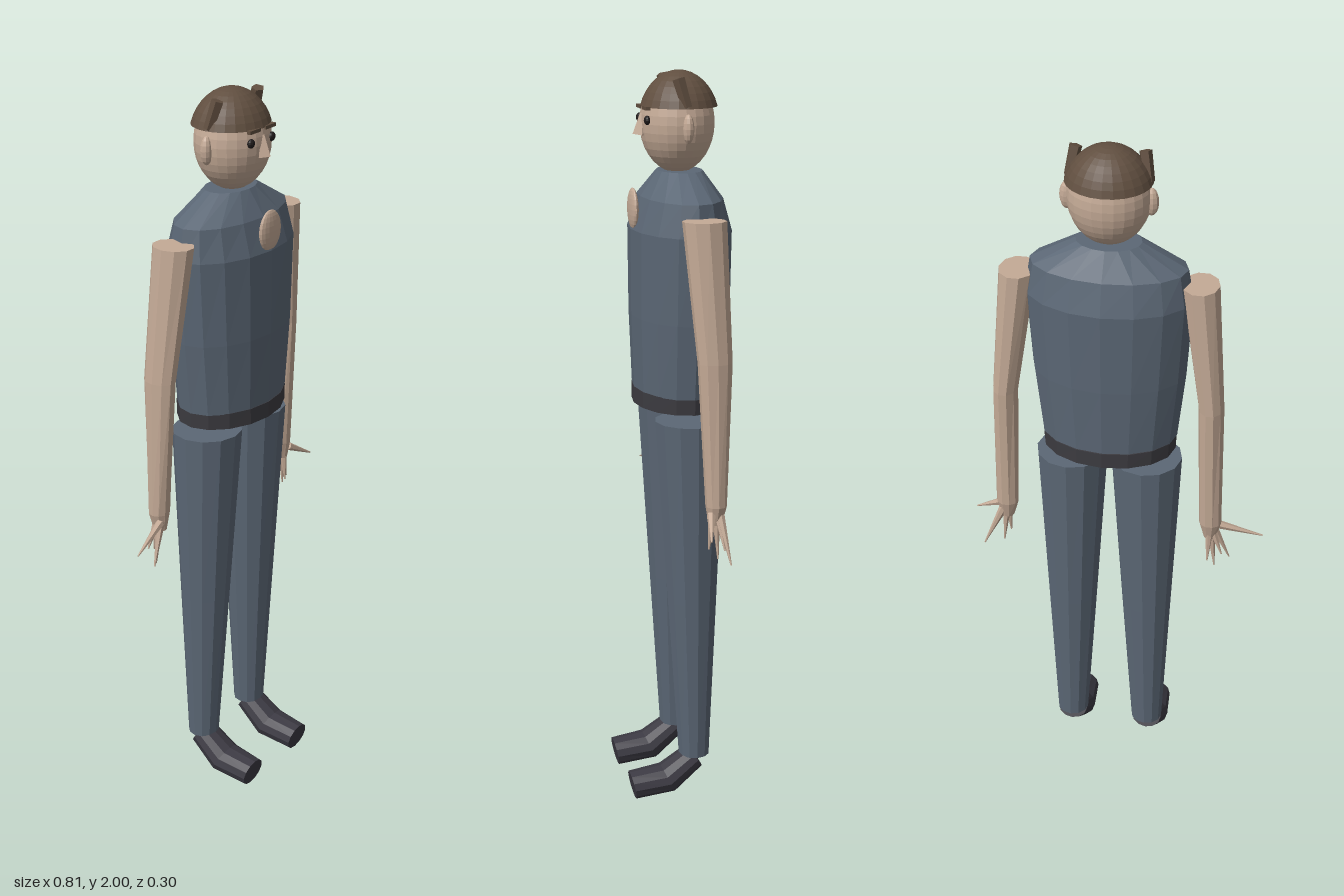
import * as THREE from 'three';

const CX = 0.022; // body centre line

const mat = (name, color) => {
  const m = new THREE.MeshStandardMaterial({ color });
  m.name = name;
  return m;
};

// faceted normals
function facet(geo) {
  const g = geo.index ? geo.toNonIndexed() : geo;
  g.computeVertexNormals();
  return g;
}

// closed skin over elliptical rings [x, y, z, rx, rz, tilt], listed from bottom to top
function loft(rings, sides) {
  const pos = [], idx = [], n = rings.length;
  for (const [x, y, z, rx, rz, tilt = 0] of rings) {
    for (let i = 0; i < sides; i++) {
      const t = (i / sides) * Math.PI * 2, s = rz * Math.sin(t);
      pos.push(x + rx * Math.cos(t), y + s * Math.sin(tilt), z + s * Math.cos(tilt));
    }
  }
  for (const r of [rings[0], rings[n - 1]]) pos.push(r[0], r[1], r[2]);
  const bottom = n * sides, top = bottom + 1, last = (n - 1) * sides;
  for (let i = 0; i < sides; i++) {
    const j = (i + 1) % sides;
    for (let k = 0; k < n - 1; k++) {
      const a = k * sides + i, b = k * sides + j;
      idx.push(b, a, a + sides, b, a + sides, b + sides);
    }
    idx.push(bottom, i, j, top, last + j, last + i);
  }
  const g = new THREE.BufferGeometry();
  g.setAttribute('position', new THREE.Float32BufferAttribute(pos, 3));
  g.setIndex(idx);
  return facet(g);
}

// tapered rod between two points
function rod(from, to, r0, r1, sides) {
  const a = new THREE.Vector3(...from), b = new THREE.Vector3(...to);
  const d = b.clone().sub(a);
  const g = new THREE.CylinderGeometry(r1, r0, d.length(), sides);
  g.applyQuaternion(new THREE.Quaternion().setFromUnitVectors(new THREE.Vector3(0, 1, 0), d.normalize()));
  g.translate(...a.add(b).multiplyScalar(0.5).toArray());
  return facet(g);
}

function ellipsoid(x, y, z, rx, ry, rz, w = 16, h = 12) {
  return facet(new THREE.SphereGeometry(1, w, h).scale(rx, ry, rz).translate(x, y, z));
}

export function createModel() {
  const group = new THREE.Group();
  const skin = mat('skin', 0xc4aa96);
  const cloth = mat('slate cloth', 0x5b6775);
  const dark = mat('dark belt', 0x3c3b40);
  const leather = mat('shoe leather', 0x3b3942);
  const hair = mat('brown hair', 0x614f40);
  const ink = mat('eye black', 0x201c1c);
  const add = (name, geo, m) => {
    const mesh = new THREE.Mesh(geo, m);
    mesh.name = name;
    group.add(mesh);
  };

  // torso and belt
  add('torso', loft([
    [CX, 1.16, -0.017, 0.183, 0.122],
    [CX, 1.36, -0.018, 0.204, 0.13],
    [CX, 1.59, -0.019, 0.218, 0.132],
    [CX, 1.675, -0.02, 0.204, 0.106],
    [CX, 1.742, -0.02, 0.085, 0.06],
  ], 16), cloth);
  add('belt', loft([
    [CX, 1.118, -0.018, 0.18, 0.125],
    [CX, 1.162, -0.018, 0.182, 0.125],
  ], 16), dark);
  add('chestPatch', ellipsoid(CX, 1.643, 0.106, 0.046, 0.055, 0.012), skin);

  // head, cap of hair and face
  add('head', ellipsoid(CX, 1.865, -0.013, 0.107, 0.13, 0.098, 24, 18), skin);
  const cap = new THREE.SphereGeometry(1, 24, 8, 0, Math.PI * 2, 0, 1.25);
  add('hairCap', facet(cap.scale(0.117, 0.135, 0.106).translate(CX, 1.865, -0.018)), hair);
  const under = new THREE.CircleGeometry(0.95, 24).rotateX(Math.PI / 2);
  add('hairUnderside', facet(under.scale(0.117, 1, 0.106).translate(CX, 1.908, -0.018)), hair);
  add('nose', rod([CX, 1.835, 0.085], [CX, 1.89, 0.078], 0.021, 0.008, 4), skin);

  const tips = {
    '-1': [[0.427, 0.84, -0.008], [0.338, 0.765, -0.025], [0.3, 0.75, -0.05], [0.282, 0.78, -0.07], [0.32, 0.8, -0.06]],
    '1': [[0.383, 0.834, -0.01], [0.35, 0.755, -0.072], [0.298, 0.758, -0.05], [0.282, 0.78, -0.03], [0.33, 0.79, -0.06]],
  };

  for (const s of [-1, 1]) {
    const side = s > 0 ? 'left' : 'right';
    const X = (d) => CX + s * d;

    // face details
    add(side + 'Eye', ellipsoid(X(0.045), 1.876, 0.077, 0.012, 0.012, 0.009, 10, 8), ink);
    add(side + 'Brow', facet(new THREE.BoxGeometry(0.045, 0.009, 0.012).translate(X(0.033), 1.906, 0.077)), hair);
    add(side + 'Ear', ellipsoid(X(0.106), 1.857, -0.017, 0.019, 0.038, 0.015, 10, 8), skin);
    add(side + 'HairTuft', rod([X(0.1), 1.91, -0.015], [X(0.086), 1.983, 0.004], 0.014, 0.017, 5), hair);

    // arm in two segments
    const elbow = [X(0.276), 1.28, -0.045, 0.034, 0.046];
    add(side + 'UpperArm', loft([elbow, [X(0.236), 1.64, -0.026, 0.049, 0.058]], 10), skin);
    add(side + 'Forearm', loft([
      [X(0.284), 0.85, -0.046, 0.017, 0.018],
      [X(0.284), 0.9, -0.048, 0.031, 0.028],
      elbow,
    ], 10), skin);
    tips[s].forEach((t, i) => {
      const base = [X(0.284 + (t[0] - 0.284) * 0.15), 0.88, -0.045 + (t[2] + 0.045) * 0.4];
      add(side + 'Finger' + (i + 1), rod(base, [X(t[0]), t[1], t[2]], 0.012, 0.002, 6), skin);
    });

    // leg in two segments
    const knee = [X(0.107), 0.58, -0.03, 0.07, 0.068];
    add(side + 'Thigh', loft([knee, [X(0.102), 1.087, -0.024, 0.097, 0.095]], 12), cloth);
    add(side + 'Shin', loft([[X(0.112), 0.123, -0.035, 0.045, 0.043], knee], 12), cloth);

    // shoe swept from toe to ankle
    add(side + 'Shoe', loft([
      [X(0.113), 0.042, 0.142, 0.044, 0.039, 1.38],
      [X(0.113), 0.055, 0.042, 0.052, 0.042, 1.11],
      [X(0.113), 0.115, -0.037, 0.043, 0.035, 1.01],
    ], 12), leather);
  }
  return group;
}
